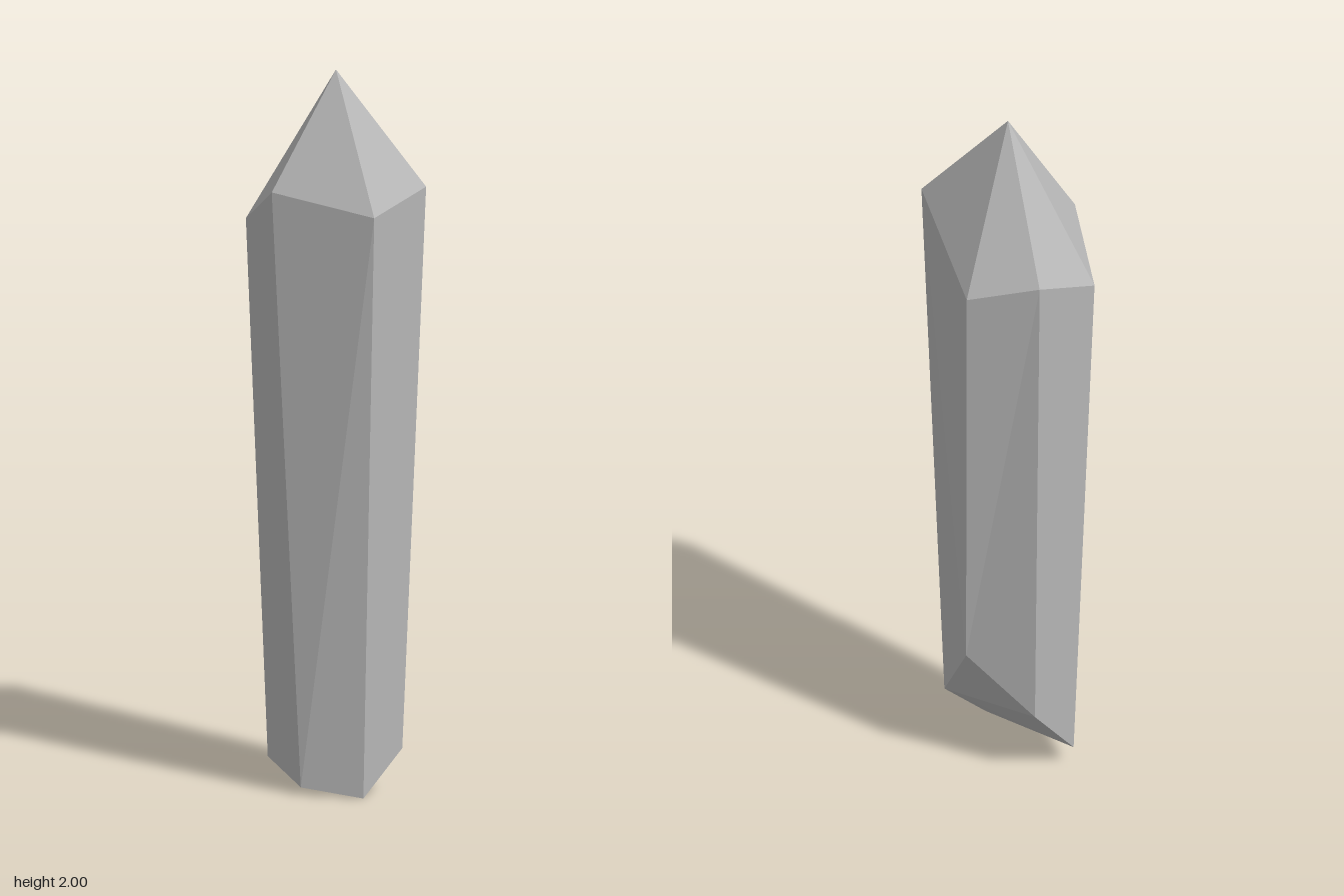
import * as THREE from 'three';

// Ring corners [x, y, z], in order round the crystal seen from the left side to the back.
const SHOULDER = [
  [-0.27, 1.555, 0.032], [-0.117, 1.68, 0.195], [0.19, 1.64, 0.195],
  [0.27, 1.70, 0.032], [0, 1.55, -0.197], [-0.19, 1.605, -0.13],
];
const BASE = [
  [-0.203, 0.055, 0.035], [-0.03, 0.022, 0.195], [0.14, 0, 0.157],
  [0.2, 0.12, 0.035], [0.035, 0.37, -0.138], [-0.15, 0.2, -0.085],
];
const TIP = [0, 2, 0.032];

// Which way each side facet is folded: true runs from this shoulder corner to the next base corner.
const FOLDS = [true, false, true, true, false, true];

// Builds flat facets from a list of triangles, each with its own corners.
function facets(name, triangles, material) {
  const geometry = new THREE.BufferGeometry();
  geometry.setAttribute('position', new THREE.Float32BufferAttribute(triangles.flat(2), 3));
  geometry.computeVertexNormals();
  const mesh = new THREE.Mesh(geometry, material);
  mesh.name = name;
  return mesh;
}

export function createModel() {
  const stone = new THREE.MeshStandardMaterial({ color: 0xb8b8b8 });
  stone.name = 'grey stone';

  const point = [];
  const shaft = [];
  SHOULDER.forEach((a, i) => {
    const j = (i + 1) % SHOULDER.length;
    const b = SHOULDER[j], c = BASE[i], d = BASE[j];
    point.push([TIP, a, b]);
    if (FOLDS[i]) shaft.push([a, c, d], [a, d, b]);
    else shaft.push([a, c, b], [b, c, d]);
  });

  // Chipped underside, sloping up towards the back
  const [left, front, low, right, back, rear] = BASE;
  const underside = [
    [left, low, front],
    [left, right, low],
    [left, rear, right],
    [rear, back, right],
  ];

  const crystal = new THREE.Group();
  crystal.name = 'crystal';
  crystal.add(
    facets('crystalPoint', point, stone),
    facets('crystalShaft', shaft, stone),
    facets('crystalUnderside', underside, stone),
  );
  return crystal;
}
